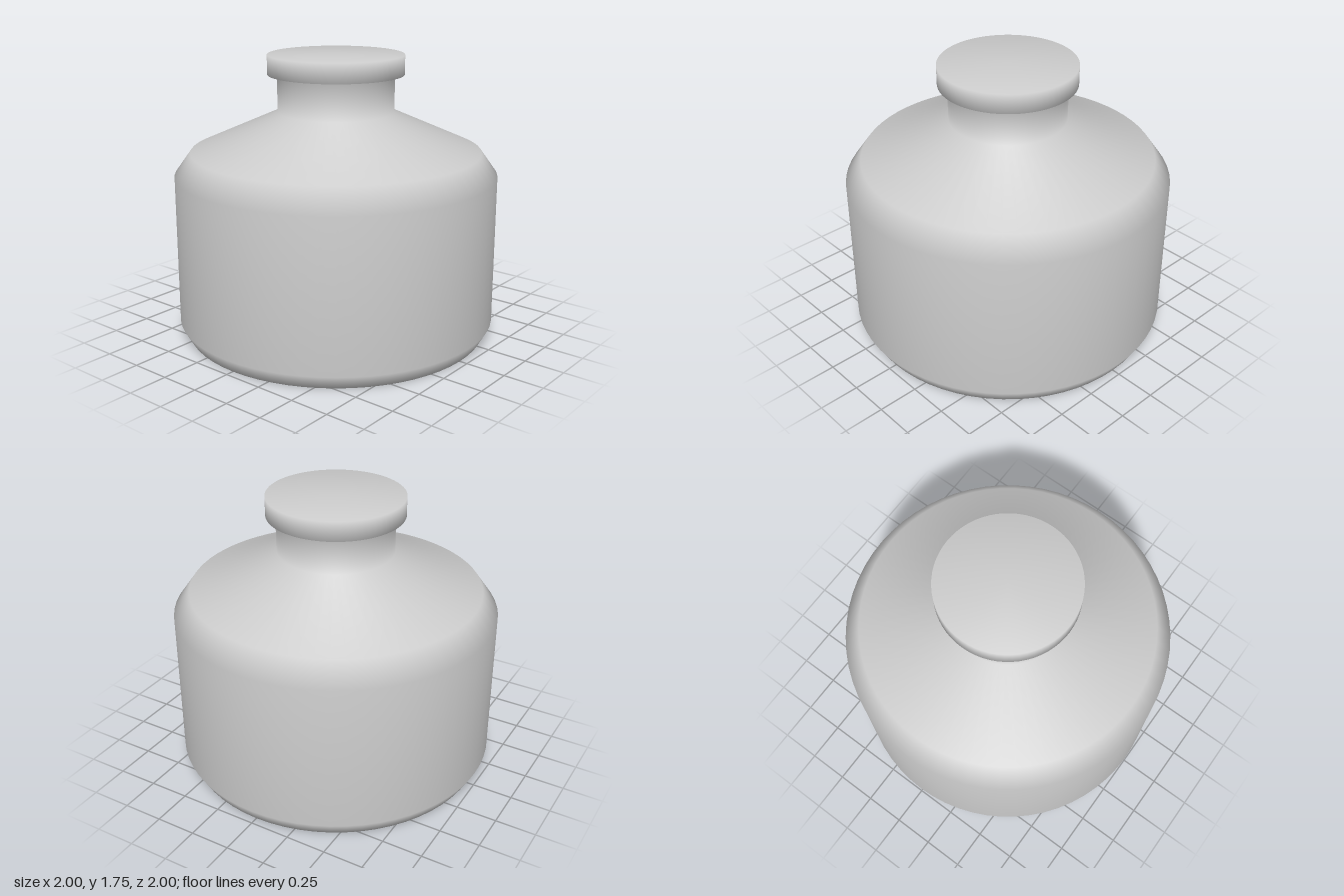
import * as THREE from 'three';

export function createModel() {
  const group = new THREE.Group();
  group.name = 'stopperedJar';

  // Outline from the base centre up to the lid centre: [radius, height]
  const profile = [
    [0, 0], [0.95, 0],            // base
    [1, 0.09], [1, 1.02],         // chamfer and wall
    [0.9, 1.16], [0.36, 1.4],     // shoulder
    [0.36, 1.63],                 // neck
    [0.42, 1.63], [0.42, 1.75],   // lid rim
    [0, 1.75],                    // lid top
  ].map(([r, y]) => new THREE.Vector2(r, y));

  // One smooth turned surface, closed at both ends
  const jar = new THREE.Mesh(
    new THREE.LatheGeometry(profile, 64),
    new THREE.MeshStandardMaterial({ color: 0xcccccc }),
  );
  jar.name = 'jarBodyWithLid';
  group.add(jar);
  return group;
}
